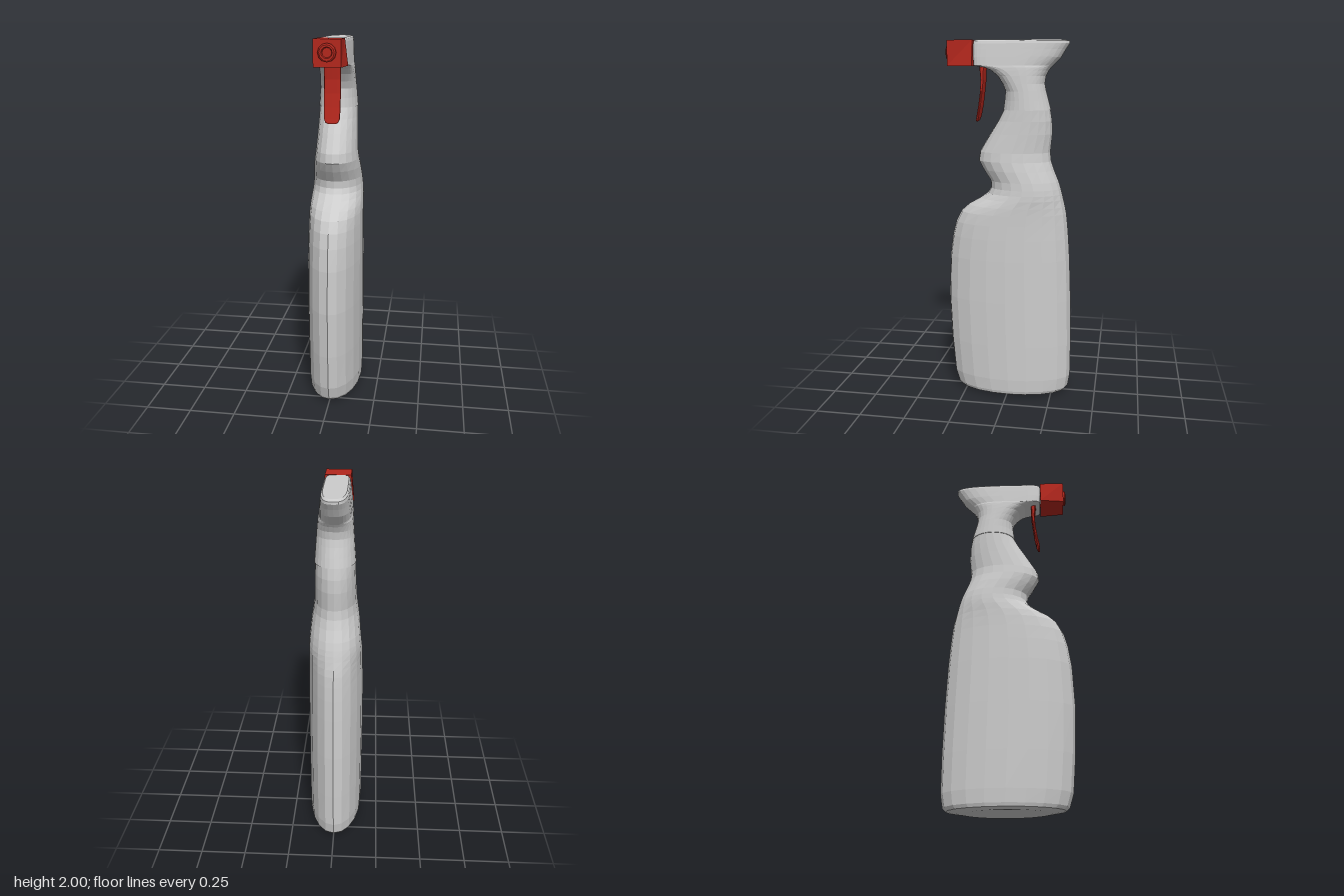
import * as THREE from 'three';

const grey = new THREE.MeshStandardMaterial({ color: 0xcccccc, flatShading: true });
const red = new THREE.MeshStandardMaterial({ color: 0xb3271d, flatShading: true });

// Closed loft through horizontal superellipse sections:
// [y, front z, back z, half width, front squareness, back squareness]
function loft(sections, sides) {
  const pos = [], index = [];
  const power = (v, n) => Math.sign(v) * Math.abs(v) ** (2 / n);
  for (const [y, zf, zb, w, nf = 2, nb = 2] of sections) {
    for (let j = 0; j < sides; j++) {
      const a = (j / sides) * Math.PI * 2;
      const c = Math.abs(Math.cos(a)) < 1e-9 ? 0 : Math.cos(a);
      const s = Math.abs(Math.sin(a)) < 1e-9 ? 0 : Math.sin(a);
      const n = c > 0 ? nf : nb;
      pos.push(w * power(s, n), y, (zf + zb) / 2 + ((zf - zb) / 2) * power(c, n));
    }
  }
  const rows = sections.length;
  for (let i = 0; i < rows - 1; i++) {
    for (let j = 0; j < sides; j++) {
      const k = (j + 1) % sides;
      const a = i * sides + j, b = i * sides + k;
      index.push(a, b, b + sides, a, b + sides, a + sides);
    }
  }
  // End caps
  const first = sections[0], last = sections[rows - 1];
  const bottom = pos.length / 3, top = bottom + 1, start = (rows - 1) * sides;
  pos.push(0, first[0], (first[1] + first[2]) / 2, 0, last[0], (last[1] + last[2]) / 2);
  for (let j = 0; j < sides; j++) {
    const k = (j + 1) % sides;
    index.push(bottom, k, j, top, start + j, start + k);
  }
  const g = new THREE.BufferGeometry();
  g.setAttribute('position', new THREE.Float32BufferAttribute(pos, 3));
  g.setIndex(index);
  g.computeVertexNormals();
  return g;
}

export function createModel() {
  const model = new THREE.Group();
  const add = (name, geometry, material) => {
    const mesh = new THREE.Mesh(geometry, material);
    mesh.name = name;
    model.add(mesh);
    return mesh;
  };

  // Bottle with a finger notch under the neck
  add('bottle', loft([
    [0, 0.22, -0.24, 0.125],
    [0.012, 0.295, -0.325, 0.145],
    [0.03, 0.312, -0.342, 0.15],
    [0.1, 0.333, -0.354, 0.154],
    [0.3, 0.35, -0.355, 0.155],
    [0.56, 0.36, -0.35, 0.155],
    [0.8, 0.35, -0.34, 0.154],
    [0.92, 0.333, -0.332, 0.152],
    [1.0, 0.312, -0.325, 0.15],
    [1.06, 0.28, -0.318, 0.149],
    [1.1, 0.235, -0.31, 0.148],
    [1.14, 0.165, -0.3, 0.146],
    [1.17, 0.125, -0.293, 0.143],
    [1.2, 0.108, -0.285, 0.14],
    [1.24, 0.11, -0.272, 0.136],
    [1.3, 0.15, -0.247, 0.13],
    [1.35, 0.178, -0.23, 0.122],
    [1.4, 0.17, -0.224, 0.115],
    [1.5, 0.11, -0.234, 0.11],
    [1.57, 0.066, -0.232, 0.107],
    [1.63, 0.034, -0.222, 0.105],
  ], 20), grey);

  // Spray head: round collar flaring into a flat-fronted body with a tail
  add('sprayHead', loft([
    [1.63, 0.037, -0.225, 0.108],
    [1.68, 0.03, -0.212, 0.104],
    [1.73, 0.024, -0.198, 0.1, 2.2, 2.1],
    [1.77, 0.04, -0.19, 0.097, 2.5, 2.2],
    [1.81, 0.065, -0.196, 0.094, 3, 2.3],
    [1.84, 0.1, -0.212, 0.091, 4, 2.4],
    [1.855, 0.135, -0.223, 0.089, 5, 2.5],
    [1.865, 0.193, -0.234, 0.086, 7, 2.5],
    [1.91, 0.195, -0.278, 0.081, 8, 2.7],
    [1.95, 0.195, -0.302, 0.076, 8, 2.8],
    [1.98, 0.195, -0.322, 0.072, 8, 3],
    [1.993, 0.193, -0.322, 0.068, 8, 3],
    [2.0, 0.188, -0.295, 0.061, 8, 3],
  ], 28), grey);

  // Nozzle block, wider at its lower rear edge
  const block = new THREE.BoxGeometry(0.14, 0.136, 0.14);
  const p = block.attributes.position;
  for (let i = 0; i < p.count; i++) {
    if (p.getZ(i) < 0 && p.getY(i) < 0) p.setX(i, p.getX(i) * 1.24);
  }
  block.computeVertexNormals();
  add('nozzleBlock', block, red).position.set(0, 1.932, 0.265);

  // Hollow nozzle tip with a recessed outlet
  const tipProfile = [[0.046, 0], [0.046, 0.01], [0.038, 0.016], [0.028, 0.016], [0.024, 0.002], [0, 0.002]];
  const tip = new THREE.LatheGeometry(tipProfile.map(([r, h]) => new THREE.Vector2(r, h)), 12);
  tip.rotateX(Math.PI / 2);
  add('nozzleTip', tip, red).position.set(0, 1.935, 0.334);

  // Curved trigger with a rounded end
  add('trigger', loft([
    [1.565, 0.188, 0.178, 0.022, 3, 3],
    [1.572, 0.188, 0.174, 0.034, 4, 4],
    [1.59, 0.184, 0.167, 0.042, 4, 4],
    [1.65, 0.173, 0.155, 0.044, 4, 4],
    [1.72, 0.163, 0.146, 0.044, 4, 4],
    [1.79, 0.159, 0.138, 0.044, 4, 4],
    [1.87, 0.167, 0.134, 0.044, 4, 4],
  ], 16), red);

  return model;
}
